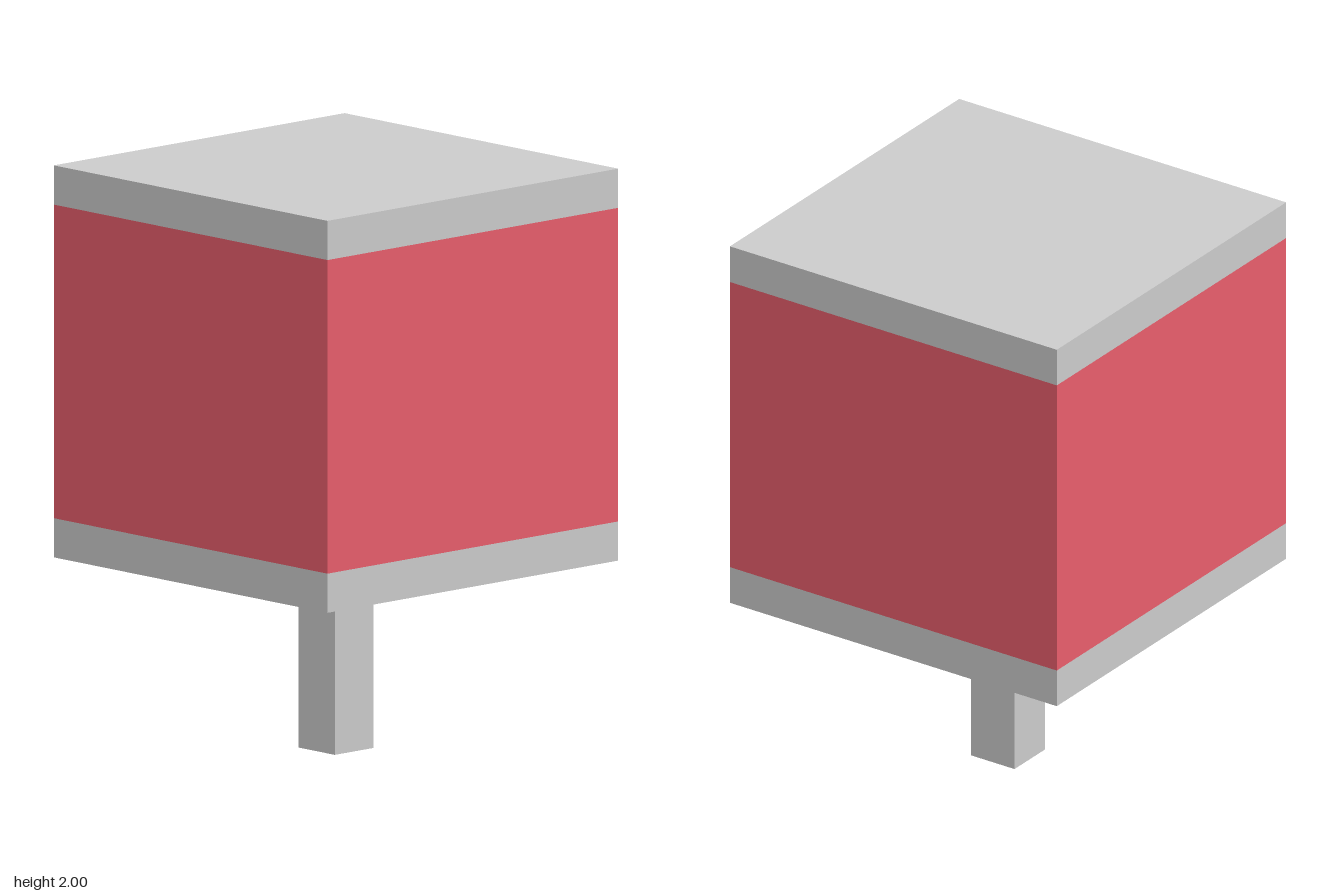
import * as THREE from 'three';

export function createModel() {
  const group = new THREE.Group();
  const grey = new THREE.MeshStandardMaterial({ color: 0xcccccc });
  const red = new THREE.MeshStandardMaterial({ color: 0xe85e6c });

  // Square block spanning bottom..top, centred on the vertical axis
  const block = (name, width, bottom, top, material) => {
    const mesh = new THREE.Mesh(new THREE.BoxGeometry(width, top - bottom, width), material);
    mesh.name = name;
    mesh.position.y = (bottom + top) / 2;
    group.add(mesh);
  };

  // Handle post
  block('handle', 0.18, 0, 0.65, grey);

  // Cube head: red band between two grey bands
  const size = 1.35;
  block('lowerBand', size, 0.65, 0.785, grey);
  block('middleBand', size, 0.785, 1.865, red);
  block('upperBand', size, 1.865, 2, grey);

  return group;
}
